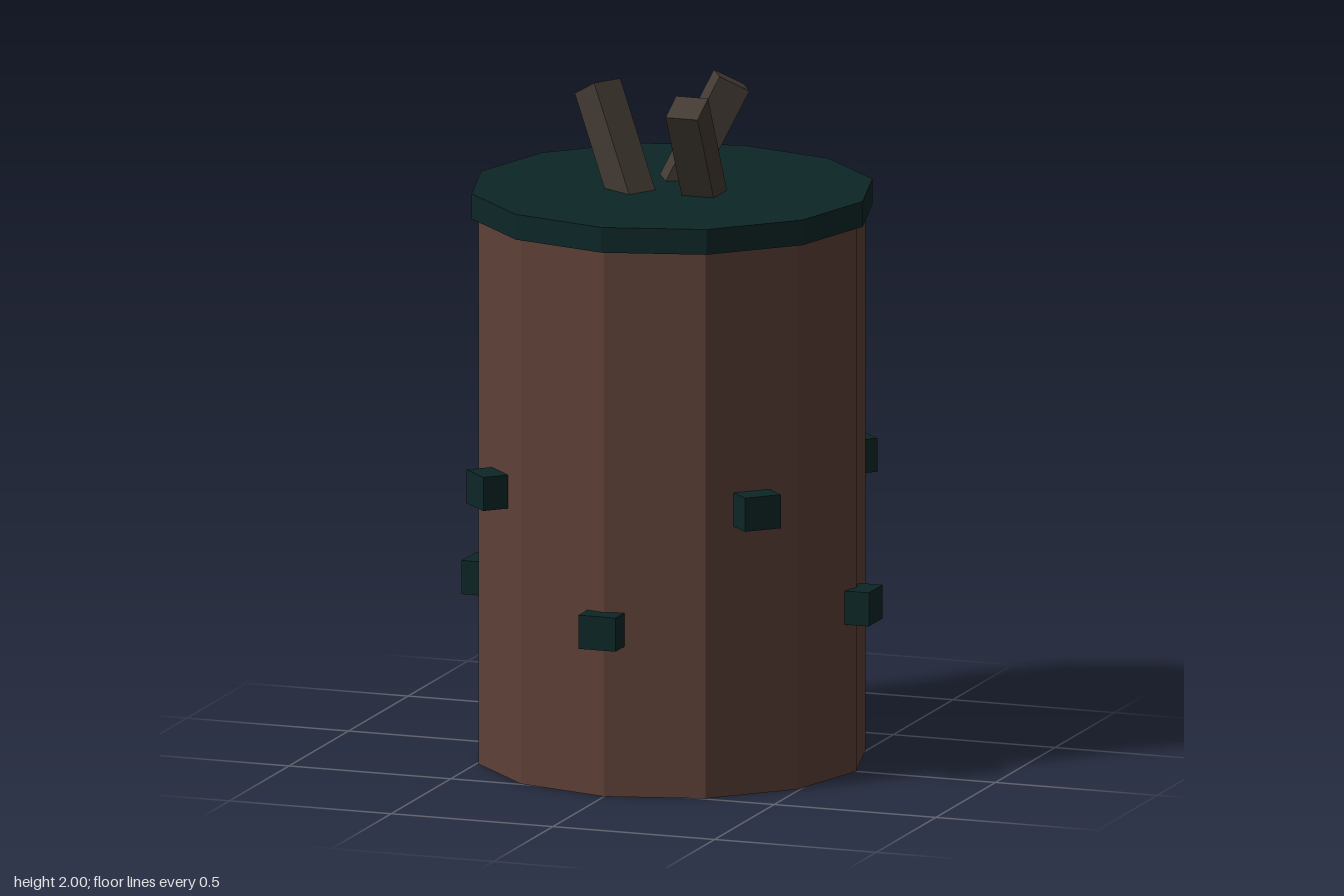
import * as THREE from 'three';

const mat = (name, color) => {
  const m = new THREE.MeshStandardMaterial({ color, flatShading: true });
  m.name = name;
  return m;
};

export function createModel() {
  const brown = mat('brown bark', 0x5d4037);
  const teal = mat('dark teal', 0x0d2626);
  const grey = mat('grey wood', 0x433b33);

  const model = new THREE.Group();
  model.name = 'barrel';

  const add = (name, geometry, material, parent = model) => {
    const mesh = new THREE.Mesh(geometry, material);
    mesh.name = name;
    parent.add(mesh);
    return mesh;
  };

  // Twelve-sided body and overhanging lid
  add('body', new THREE.CylinderGeometry(0.57, 0.57, 1.65, 12), brown).position.y = 0.825;
  add('lid', new THREE.CylinderGeometry(0.59, 0.59, 0.075, 12), teal).position.y = 1.6575;

  // Studs around the body, alternating between a low and a high ring
  const studGeometry = new THREE.BoxGeometry(0.115, 0.1, 0.115);
  for (let i = 0; i < 8; i++) {
    const angle = (i * Math.PI) / 4;
    const stud = add('stud', studGeometry, teal);
    stud.position.set(Math.sin(angle) * 0.572, i % 2 ? 0.85 : 0.497, Math.cos(angle) * 0.572);
    stud.rotation.y = angle;
  }

  // Three sticks leaning out of the lid, each turned a third of a circle
  const tilt = 0.48;
  const length = 0.46;
  const stickGeometry = new THREE.BoxGeometry(0.099, length, 0.099);
  stickGeometry.translate(0, -length / 2, 0); // origin at the tip
  for (let i = 0; i < 3; i++) {
    const pivot = new THREE.Group();
    pivot.name = 'stickPivot';
    pivot.rotation.y = (i * Math.PI * 2) / 3;
    const stick = add('stick', stickGeometry, grey, pivot);
    stick.position.set(0.118, 1.977, 0.196);
    stick.rotation.x = tilt;
    model.add(pivot);
  }

  return model;
}
